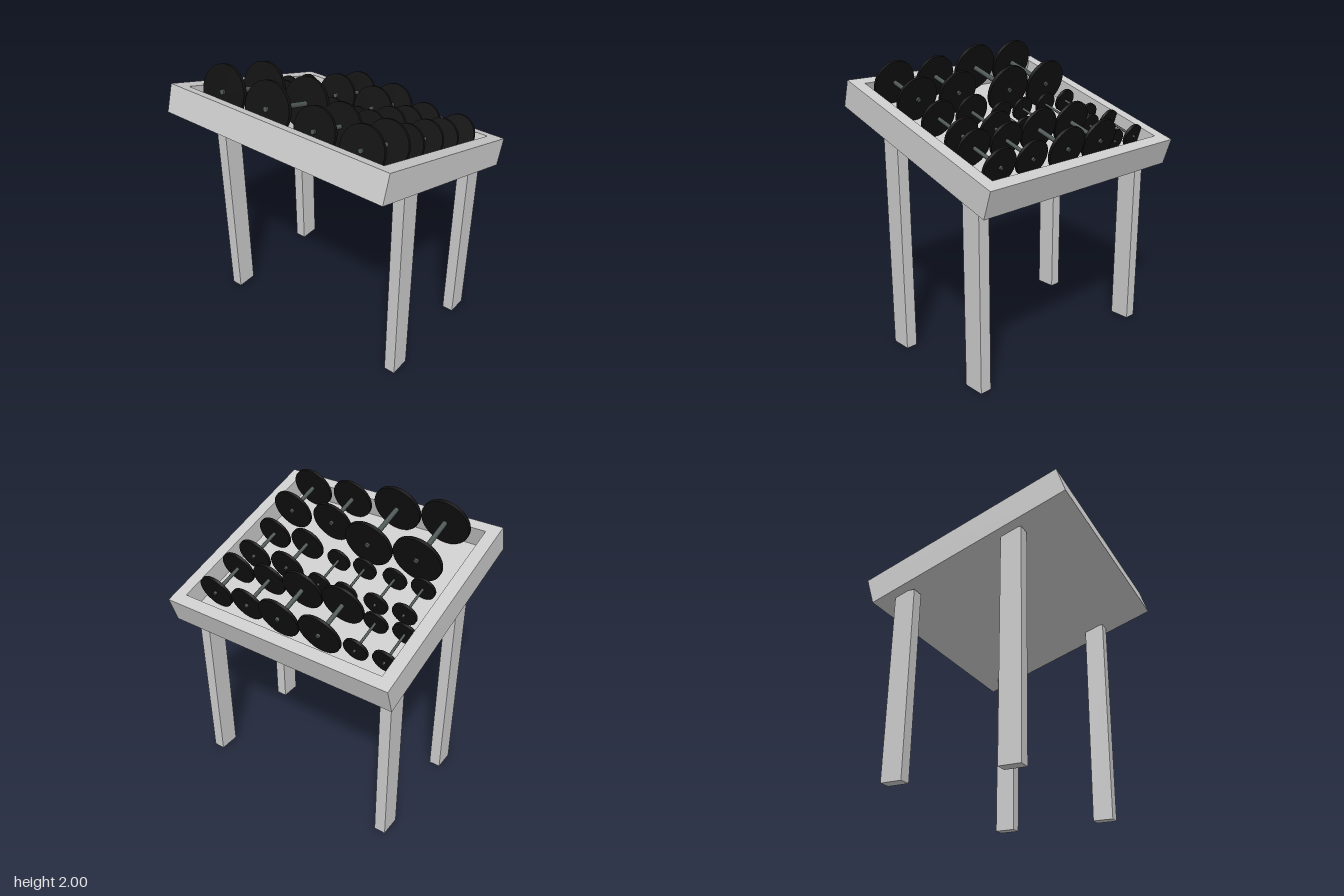
import * as THREE from 'three';

const TILT = 0.308;            // slope of the tray, down towards +x
const TRAY_Y = 1.52;           // height of the tray centre
const HALF_H = 0.095;          // half the tray height
const FLOOR = -0.052;          // tray floor, in the tray's own frame

const grey = new THREE.MeshStandardMaterial({ color: 0xcccccc });
const black = new THREE.MeshStandardMaterial({ color: 0x111111 });
const steel = new THREE.MeshStandardMaterial({ color: 0x4d5655 });

function add(parent, name, geometry, material, x = 0, y = 0, z = 0) {
  const mesh = new THREE.Mesh(geometry, material);
  mesh.name = name;
  mesh.position.set(x, y, z);
  parent.add(mesh);
  return mesh;
}

function rect(path, x0, x1, y0, y1) {
  path.moveTo(x0, y0);
  path.lineTo(x1, y0);
  path.lineTo(x1, y1);
  path.lineTo(x0, y1);
  path.closePath();
  return path;
}

// Open tray: a rim extruded around a hole, closed by a floor
function makeTray() {
  const tray = new THREE.Group();
  tray.name = 'tray';
  const outline = rect(new THREE.Shape(), -0.7245, 0.7245, -0.845, 0.845);
  outline.holes.push(rect(new THREE.Path(), -0.65, 0.641, -0.758, 0.758));
  const rim = new THREE.ExtrudeGeometry(outline, { depth: HALF_H * 2, bevelEnabled: false });
  rim.rotateX(-Math.PI / 2);
  add(tray, 'trayRim', rim, grey, 0, -HALF_H, 0);
  const thick = FLOOR + HALF_H;
  add(tray, 'trayFloor', new THREE.BoxGeometry(1.291, thick, 1.516), grey,
    -0.0045, FLOOR - thick / 2, 0);
  return tray;
}

// Dumbbell lying across the tray: two thin plates on a bar
function makeDumbbell(x0, x1, z, r) {
  const bell = new THREE.Group();
  bell.name = 'dumbbell';
  const n = FLOOR + r + 0.008;
  const along = (x) => (x - Math.sin(TILT) * n) / Math.cos(TILT);
  const u0 = along(x0), u1 = along(x1);
  bell.position.set((u0 + u1) / 2, n, z);
  const half = (u1 - u0) / 2;
  const plate = new THREE.CylinderGeometry(r, r, r > 0.16 ? 0.025 : 0.02, 40);
  plate.rotateZ(Math.PI / 2);
  add(bell, 'plateUpper', plate, black, -half);
  add(bell, 'plateLower', plate, black, half);
  const barR = 0.1 * r;
  const bar = new THREE.CylinderGeometry(barR, barR, 2 * half + 0.05, 12);
  bar.rotateZ(Math.PI / 2);
  add(bell, 'bar', bar, steel);
  return bell;
}

export function createModel() {
  const model = new THREE.Group();
  model.name = 'dumbbellRack';

  const top = new THREE.Group();
  top.name = 'slopedTop';
  top.position.y = TRAY_Y;
  top.rotation.z = -TILT;
  top.add(makeTray());
  model.add(top);

  // Rows of dumbbells: plate positions x0 and x1, radius, then each z
  const rows = [
    [-0.53, -0.175, 0.175, [-0.5, -0.135]],
    [-0.53, -0.285, 0.152, [0.23, 0.57]],
    [-0.072, 0.15, 0.085, [-0.61, -0.403, -0.175, 0.03]],
    [-0.074, 0.152, 0.125, [0.29, 0.568]],
    [0.277, 0.497, 0.085, [-0.692, -0.485]],
    [0.303, 0.552, 0.152, [-0.26, 0.05]],
    [0.293, 0.52, 0.126, [0.328, 0.595]],
  ];
  for (const [x0, x1, r, zs] of rows) {
    for (const z of zs) top.add(makeDumbbell(x0, x1, z, r));
  }

  // Legs: tall pair at -x, short pair at +x
  for (const [x, h, name] of [[-0.313, 1.535, 'tallLeg'], [0.463, 1.28, 'shortLeg']]) {
    for (const side of [-1, 1]) {
      add(model, name, new THREE.BoxGeometry(0.145, h, 0.08), grey, x, h / 2, side * 0.732);
    }
  }
  return model;
}
